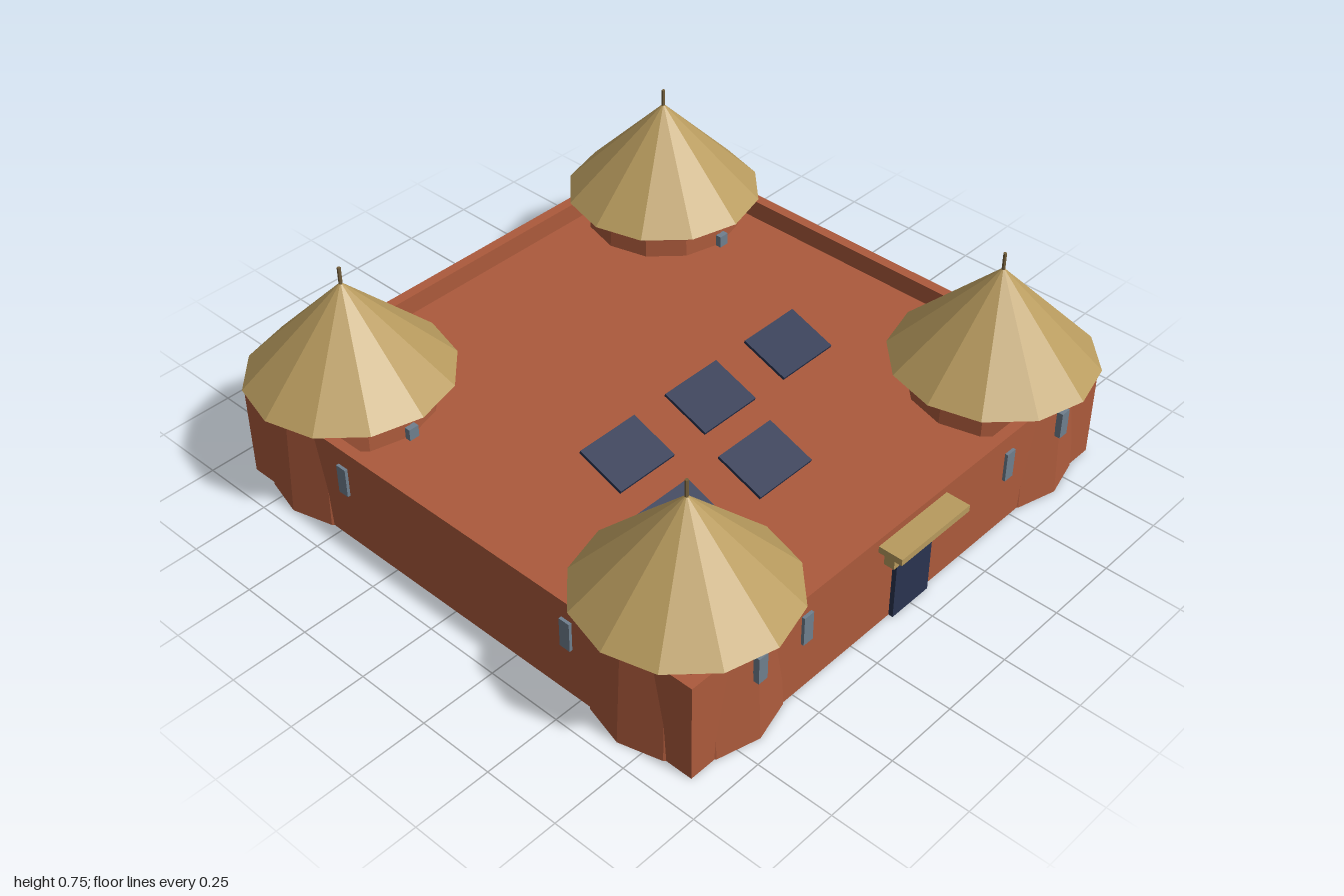
import * as THREE from 'three';

const mat = (name, color) => {
  const m = new THREE.MeshStandardMaterial({ color, flatShading: true });
  m.name = name;
  return m;
};

export function createModel() {
  const group = new THREE.Group();
  const clay = mat('red clay', 0xac5a3c);
  const straw = mat('straw', 0xb89b5e);
  const navy = mat('dark navy', 0x2a3350);
  const slate = mat('slate grey', 0x6f7f8e);
  const wood = mat('dark wood', 0x75603c);

  const add = (name, geometry, material, x, y, z, parent = group) => {
    const mesh = new THREE.Mesh(geometry, material);
    mesh.name = name;
    mesh.position.set(x, y, z);
    parent.add(mesh);
    return mesh;
  };
  const box = (name, w, h, d, material, x, y, z, parent) =>
    add(name, new THREE.BoxGeometry(w, h, d), material, x, y, z, parent);

  // Outer wall with a parapet around the sunken roof deck
  const square = (s, Type) => new Type([[-s, -s], [s, -s], [s, s], [-s, s]].map(p => new THREE.Vector2(...p)));
  const outline = square(0.905, THREE.Shape);
  outline.holes.push(square(0.87, THREE.Path));
  const wall = new THREE.ExtrudeGeometry(outline, { depth: 0.335, bevelEnabled: false });
  wall.rotateX(-Math.PI / 2);
  add('wall', wall, clay, 0, 0, 0);
  box('roofDeck', 1.74, 0.27, 1.74, clay, 0, 0.135, 0);

  // Four tapered corner towers with thatched cones
  for (const sx of [-1, 1]) for (const sz of [-1, 1]) {
    const tower = new THREE.Group();
    tower.name = 'tower';
    tower.position.set(sx * 0.677, 0, sz * 0.675);
    group.add(tower);
    add('towerBody', new THREE.CylinderGeometry(0.25, 0.27, 0.38, 12), clay, 0, 0.19, 0, tower);
    add('towerCollar', new THREE.CylinderGeometry(0.265, 0.265, 0.03, 12), clay, 0, 0.35, 0, tower);
    add('thatchedRoof', new THREE.ConeGeometry(0.322, 0.323, 12), straw, 0, 0.5385, 0, tower);
    add('finial', new THREE.CylinderGeometry(0.006, 0.006, 0.07, 6), wood, 0, 0.715, 0, tower);
    box('towerWindow', 0.035, 0.09, 0.02, slate, 0, 0.265, 0.262, tower);
  }

  // Slit windows, two on each wall
  for (const s of [-1, 1]) for (const t of [-0.455, 0.455]) {
    box('wallWindow', 0.038, 0.1, 0.02, slate, t, 0.225, s * 0.905);
    box('wallWindow', 0.02, 0.1, 0.038, slate, s * 0.905, 0.225, t);
  }

  // Front entrance
  box('door', 0.16, 0.225, 0.03, navy, 0, 0.1125, 0.905);
  box('lintel', 0.245, 0.03, 0.05, straw, 0, 0.24, 0.915);
  box('canopy', 0.305, 0.022, 0.085, straw, 0, 0.3, 0.943);

  // Ladder board with rungs on the right-hand wall
  box('ladderBoard', 0.075, 0.245, 0.02, straw, 0.91, 0.1225, 0.202).rotation.y = Math.PI / 2;
  for (const y of [0.065, 0.155, 0.237])
    box('ladderRung', 0.035, 0.012, 0.082, straw, 0.918, y, 0.2);

  // Tilted solar panels on the deck
  for (const [x, z] of [[-0.355, 0.15], [-0.002, 0.15], [0.35, 0.15], [-0.457, 0.453], [-0.105, 0.453]])
    box('solarPanel', 0.222, 0.01, 0.17, navy, x, 0.331, z).rotation.x = 0.35;

  return group;
}
